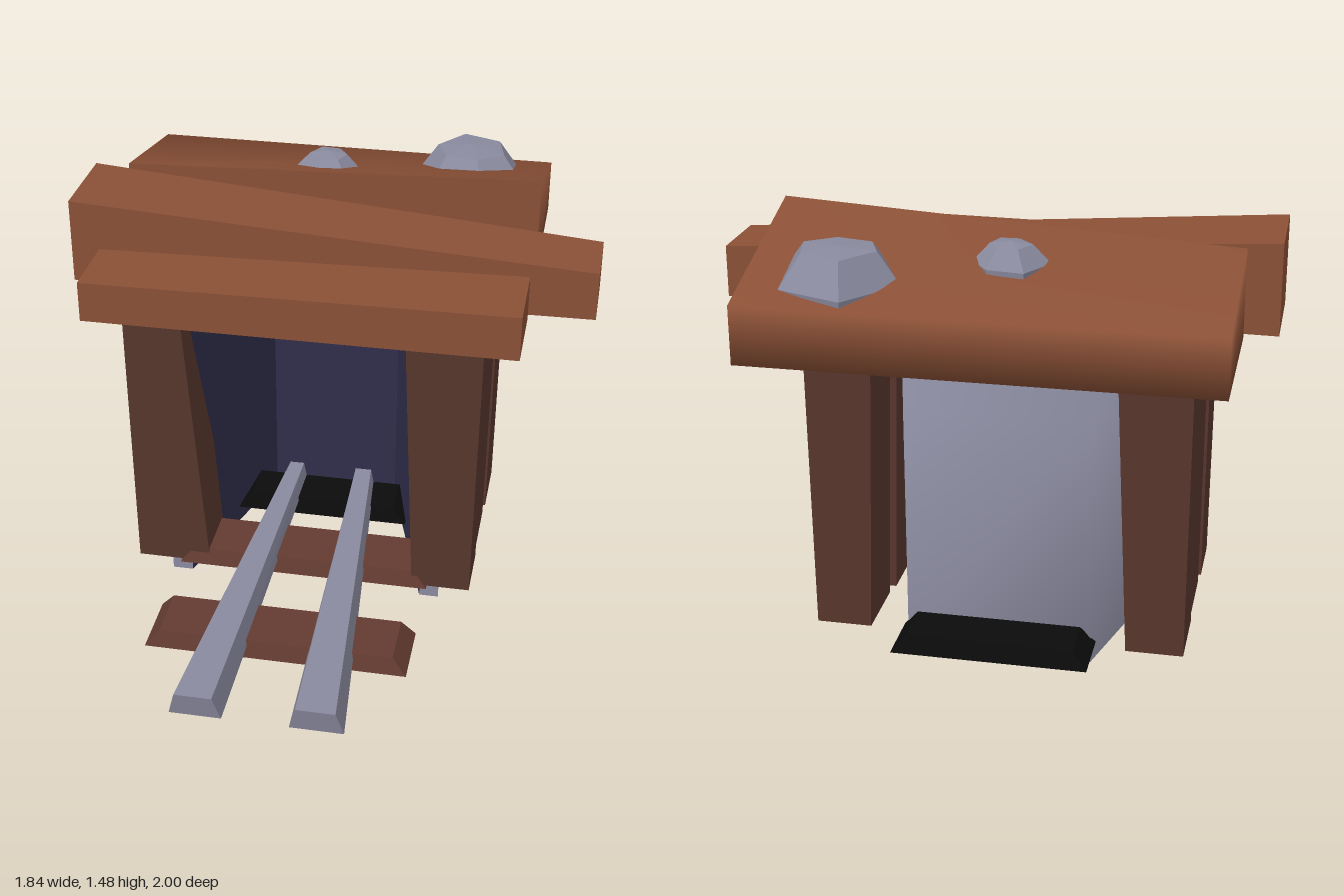
import * as THREE from 'three';

const mat = (name, color, side = THREE.FrontSide) => {
  const m = new THREE.MeshStandardMaterial({ color, side });
  m.name = name;
  return m;
};

// Corner order of a face: front left, front right, back right, back left
const ring = (x0, x1, zf, zb, y) => [[x0, y, zf], [x1, y, zf], [x1, y, zb], [x0, y, zb]];

// Faces between a lower and an upper ring of four corners
const FACES = {
  front: [0, 1, 5, 4], right: [1, 2, 6, 5], back: [2, 3, 7, 6],
  left: [3, 0, 4, 7], top: [4, 5, 6, 7], bottom: [3, 2, 1, 0],
};
const ALL = Object.keys(FACES);
const OPEN_BELOW = ALL.filter((f) => f !== 'bottom');

function surface(points, quads, smooth = false) {
  const g = new THREE.BufferGeometry();
  g.setAttribute('position', new THREE.Float32BufferAttribute(points.flat(), 3));
  g.setIndex(quads.flatMap(([a, b, c, d]) => (d === undefined ? [a, b, c] : [a, b, c, a, c, d])));
  const out = smooth ? g : g.toNonIndexed();
  out.computeVertexNormals();
  return out;
}

const block = (low, high, faces = ALL, smooth = false) =>
  surface([...low, ...high], faces.map((f) => FACES[f]), smooth);

export function createModel() {
  const model = new THREE.Group();
  model.name = 'mineEntrance';
  const beamWood = mat('beamWood', 0x8a5036);
  const postWood = mat('postWood', 0x57362d);
  const tieWood = mat('tieWood', 0x633b30, THREE.DoubleSide);
  const darkTie = mat('darkTie', 0x0b0b0b, THREE.DoubleSide);
  const stone = mat('stone', 0x8a8a9f);
  const railMetal = mat('railMetal', 0x8a8a9f, THREE.DoubleSide);
  const darkness = mat('tunnelDarkness', 0x302e4c);

  const add = (name, geometry, material, parent = model) => {
    const mesh = new THREE.Mesh(geometry, material);
    mesh.name = name;
    parent.add(mesh);
    return mesh;
  };
  const group = (name) => {
    const g = new THREE.Group();
    g.name = name;
    model.add(g);
    return g;
  };

  // Tunnel: tapering stone shell, dark lining, and the rim joining them
  const tunnel = group('tunnel');
  const shellLow = [[-0.565, 0, 0.065], [0.44, 0, 0.065], [0.25, 0, -0.655], [-0.37, 0, -0.655]];
  const shellHigh = [[-0.565, 1.13, 0.065], [0.44, 1.13, 0.065], [0.25, 0.86, -0.655], [-0.37, 0.86, -0.655]];
  const lineLow = [[-0.49, 0, 0.065], [0.37, 0, 0.065], [0.18, 0, -0.58], [-0.30, 0, -0.58]];
  const lineHigh = [[-0.49, 1.04, 0.065], [0.37, 1.04, 0.065], [0.18, 0.80, -0.58], [-0.30, 0.80, -0.58]];
  const walls = ['right', 'back', 'left', 'top'];
  add('shell', block(shellLow, shellHigh, walls, true), stone, tunnel);
  add('lining', surface([...lineLow, ...lineHigh], walls.map((f) => [...FACES[f]].reverse())), darkness, tunnel);
  add('rim', surface([...shellLow, ...shellHigh, ...lineLow, ...lineHigh], [
    [0, 8, 12, 4], [9, 1, 5, 13], [12, 13, 5, 4],
    [0, 3, 11, 8], [3, 2, 10, 11], [2, 1, 9, 10],
  ]), stone, tunnel);

  // Posts: [z front, z back, low x range, high x range] for each side
  const posts = group('posts');
  const rows = [
    ['frontPost', 0.105, -0.11, 0.12, -0.12, [0.345, 0.555], [0.30, 0.567], [-0.68, -0.41], [-0.687, -0.482]],
    ['middlePost', -0.16, -0.40, -0.17, -0.41, [0.36, 0.55], [0.33, 0.56], [-0.675, -0.46], [-0.68, -0.47]],
    ['backPost', -0.45, -0.69, -0.455, -0.695, [0.37, 0.555], [0.34, 0.565], [-0.68, -0.49], [-0.685, -0.445]],
  ];
  for (const [name, zf, zb, tf, tb, leftLow, leftHigh, rightLow, rightHigh] of rows) {
    add(name + 'Left', block(ring(...leftLow, zf, zb, 0.075), ring(...leftHigh, tf, tb, 1.105)), postWood, posts);
    add(name + 'Right', block(ring(...rightLow, zf, zb, 0.075), ring(...rightHigh, tf, tb, 1.105)), postWood, posts);
  }

  // Roof beams: corners as [x, z, top y]
  const roof = group('roof');
  const beam = (name, corners, faces = ALL, smooth = false) =>
    add(name, block(corners.map(([x, z]) => [x, 1.105, z]), corners.map(([x, z, y]) => [x, y, z]), faces, smooth),
      beamWood, roof);
  beam('frontBeam', [[-0.81, 0.20, 1.25], [0.69, 0.20, 1.265], [0.69, -0.095, 1.265], [-0.81, -0.06, 1.25]]);
  beam('middleBeam', [[-0.92, -0.09, 1.41], [0.92, -0.13, 1.28], [0.92, -0.38, 1.28], [-0.92, -0.425, 1.41]]);
  const slab = [[-0.81, -0.465, 1.40], [0.69, -0.415, 1.475], [0.69, -1, 1.295], [-0.81, -1, 1.295]];
  beam('backSlab', slab, ['right', 'back', 'left', 'top', 'bottom'], true);
  beam('backSlabFront', slab, ['front']);

  // Rocks on the roof: an outline, a smaller ring and a peak
  const rock = (name, outline, cx, cz, levels, peak) => {
    const n = outline.length;
    const points = levels.flatMap(([s, y]) => outline.map(([x, z]) => [cx + (x - cx) * s, y, cz + (z - cz) * s]));
    points.push([cx, peak, cz]);
    const faces = [];
    for (let i = 0; i < n; i++) {
      const j = (i + 1) % n;
      for (let k = 0; k < levels.length - 1; k++) faces.push([k * n + j, k * n + i, k * n + n + i, k * n + n + j]);
      const k = (levels.length - 1) * n;
      faces.push([k + j, k + i, points.length - 1]);
    }
    add(name, surface(points, faces), stone, roof);
  };
  rock('largeRock', [[0.21, -0.79], [0.35, -0.98], [0.565, -0.90], [0.61, -0.70], [0.465, -0.595], [0.275, -0.635]],
    0.40, -0.79, [[0.9, 1.24], [1, 1.32], [0.62, 1.425]], 1.435);
  rock('smallRock', [[-0.225, -0.625], [-0.16, -0.74], [-0.04, -0.725], [0.02, -0.64], [-0.02, -0.53], [-0.13, -0.525]],
    -0.10, -0.635, [[0.9, 1.30], [1, 1.365], [0.55, 1.425]], 1.435);

  // Track ties, hollow below with sloping sides
  const track = group('track');
  const ties = [[0.50, 0.46, 0.12, tieWood], [0, 0.46, 0.12, tieWood], [-0.37, 0.325, 0.10, darkTie], [-0.74, 0.325, 0.10, darkTie]];
  ties.forEach(([z, w, d, material], i) => {
    const cx = -0.06;
    add('tie' + (i + 1), block(ring(cx - w, cx + w, z + d, z - d, 0.07),
      ring(cx - w + 0.05, cx + w - 0.05, z + d - 0.02, z - d + 0.02, 0.13), OPEN_BELOW), material, track);
  });

  // Rails, hollow below, narrowing towards the back
  const rail = (name, front, back) => {
    const [f0, f1] = front, [b0, b1] = back;
    const low = [[f0, 0.105, 0.98], [f1, 0.105, 0.98], [b1, 0.12, -0.45], [b0, 0.12, -0.45]];
    const high = [[f0 + 0.025, 0.2, 1], [f1 - 0.025, 0.2, 1], [b1 - 0.012, 0.185, -0.45], [b0 + 0.012, 0.185, -0.45]];
    add(name, block(low, high, OPEN_BELOW), railMetal, track);
  };
  rail('leftRail', [0.067, 0.25], [0.03, 0.115]);
  rail('rightRail', [-0.337, -0.16], [-0.23, -0.152]);

  return model;
}
